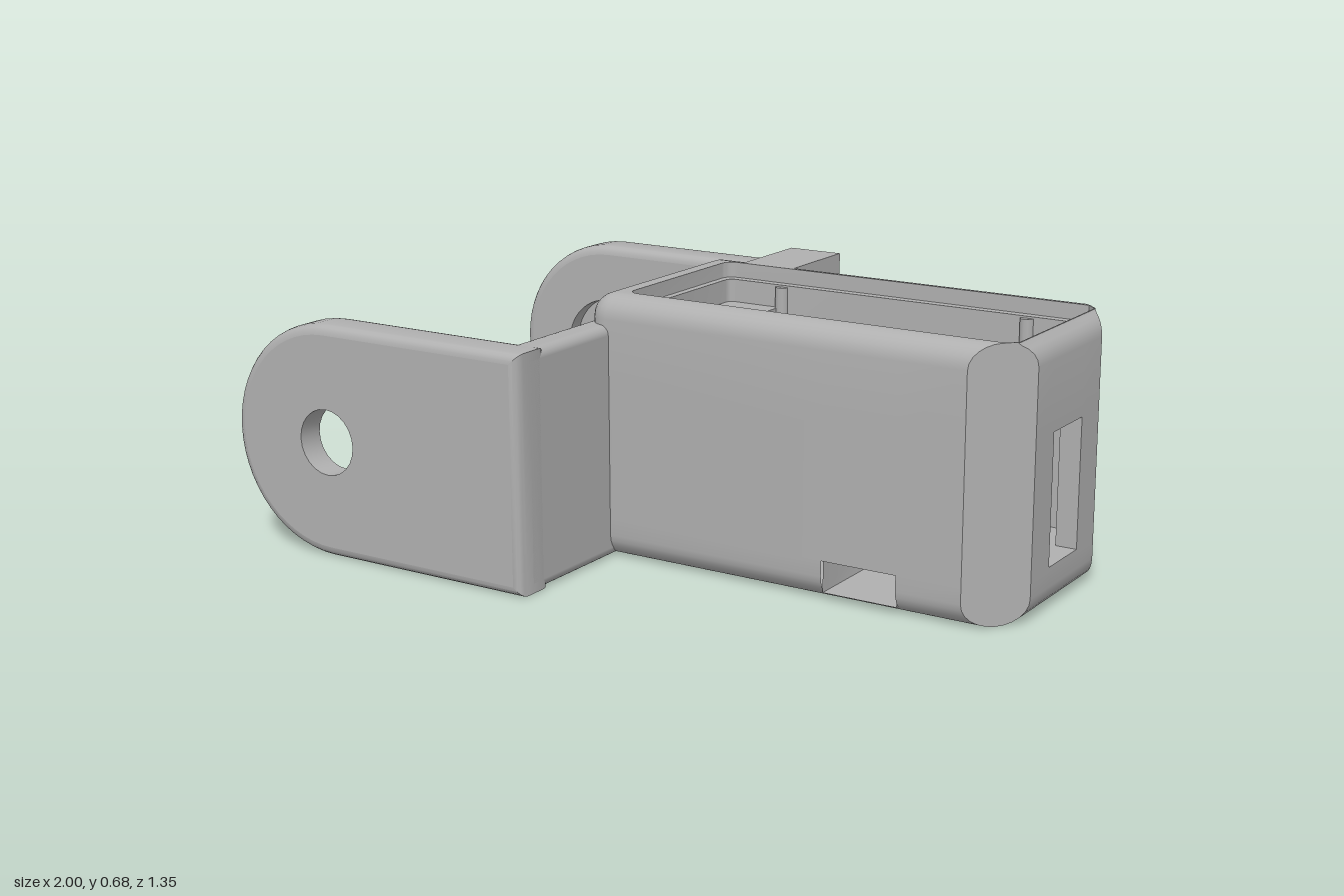
import * as THREE from 'three';
import { toCreasedNormals } from 'three/addons/utils/BufferGeometryUtils.js';
import { RoundedBoxGeometry } from 'three/addons/geometries/RoundedBoxGeometry.js';

const grey = new THREE.MeshStandardMaterial({ color: 0xb0b0b0, side: THREE.DoubleSide });
grey.name = 'grey plastic';

function add(parent, name, geometry) {
  const mesh = new THREE.Mesh(geometry, grey);
  mesh.name = name;
  parent.add(mesh);
  return mesh;
}

// Points on an arc, angles in degrees
function arc(cx, cy, r, a0, a1, n) {
  return Array.from({ length: n + 1 }, (_, i) => {
    const a = THREE.MathUtils.degToRad(a0 + ((a1 - a0) * i) / n);
    return [cx + r * Math.cos(a), cy + r * Math.sin(a)];
  });
}
const circle = (cx, cy, r) => arc(cx, cy, r, 0, 345, 23);

// Skin through closed outlines stacked along z; skip leaves openings
function loft(rings, skip = () => false) {
  const n = rings[0].pts.length, pos = [], idx = [];
  for (const { pts, z } of rings) for (const [x, y] of pts) pos.push(x, y, z);
  for (let i = 0; i < rings.length - 1; i++) {
    for (let j = 0; j < n; j++) {
      if (skip(j, rings[i].z, rings[i + 1].z)) continue;
      const a = i * n + j, b = i * n + ((j + 1) % n);
      idx.push(a, b, b + n, a, b + n, a + n);
    }
  }
  const g = new THREE.BufferGeometry();
  g.setAttribute('position', new THREE.Float32BufferAttribute(pos, 3));
  g.setIndex(idx);
  return toCreasedNormals(g, 0.6);
}

function shapeOf(pts, hole) {
  const v = (p) => p.map(([x, y]) => new THREE.Vector2(x, y));
  const s = new THREE.Shape(v(pts));
  if (hole) s.holes.push(new THREE.Path(v(hole)));
  return s;
}
const plate = (pts, hole, z) => new THREE.ShapeGeometry(shapeOf(pts, hole)).translate(0, 0, z);

// Housing outline: square left end with rounded corners, right end chamfered
const planform = (xr, yc, xc, w, xl, r) => [
  [xr, -yc], [xr, -0.08], [xr, 0.08], [xr, yc], [xc, w],
  ...arc(xl + r, w - r, r, 90, 180, 6),
  ...arc(xl + r, -w + r, r, 180, 270, 6),
  [0.51, -w], [0.71, -w], [xc, -w],
];

// Built lying in x/y with height along z, then stood up
function makeHousing() {
  const g = new THREE.Group();
  g.name = 'housing';
  const H = 0.675, r = 0.06, floor = 0.11, slotTop = 0.1;
  const slotLow = r * (1 - Math.SQRT1_2);
  const outer = (d, e) => planform(1 - e, 0.18 + e, 0.88 + d, 0.3 - d, -0.17 + d, r - d);
  const rings = [];
  const inset = (k) => r * (1 - Math.sin((k * Math.PI) / 12));
  const rise = (k) => r * (1 - Math.cos((k * Math.PI) / 12));
  for (let k = 0; k <= 6; k++) rings.push({ pts: outer(inset(k), inset(k)), z: rise(k) });
  for (const z of [slotTop, floor, 0.44]) rings.push({ pts: outer(0, 0), z });
  for (let k = 6; k >= 0; k--) rings.push({ pts: outer(inset(k), Math.min(inset(k), 0.035)), z: H - rise(k) });
  // Lid recess, ledge and cavity
  const recess = planform(0.965, 0.21, 0.94, 0.235, -0.085, 0.03);
  const cavity = planform(0.945, 0.195, 0.93, 0.21, -0.065, 0.02);
  rings.push({ pts: recess, z: H }, { pts: recess, z: 0.635 });
  for (const z of [0.635, 0.44, floor]) rings.push({ pts: cavity, z });
  const within = (a, b, lo, hi) => Math.min(a, b) > lo - 1e-5 && Math.max(a, b) < hi + 1e-5;
  add(g, 'shell', loft(rings, (j, a, b) =>
    (j === 1 && within(a, b, floor, 0.44)) || (j === 19 && within(a, b, slotLow, slotTop))));

  // Floor with screw hole, and nut slot beneath it
  const hole = circle(0.61, 0, 0.05);
  add(g, 'underside', plate(rings[0].pts, hole, 0));
  add(g, 'cavityFloor', plate(cavity, hole, floor));
  const slot = [[0.71, -0.29], [0.71, 0], [0.66, 0.087], [0.56, 0.087], [0.51, 0], [0.51, -0.29]];
  add(g, 'nutSlotWall', loft([{ pts: slot, z: slotTop }, { pts: slot, z: slotLow }], (j) => j === 5));
  add(g, 'nutSlotFloor', plate(slot, hole, slotLow));
  add(g, 'nutSlotCeiling', plate(slot, hole, slotTop));
  for (const [a, b] of [[slotLow, 0], [floor, slotTop]])
    add(g, 'screwHoleWall', loft([{ pts: hole, z: a }, { pts: hole, z: b }]));

  // Sides of the end window
  const rect = [[-0.08, floor], [0.08, floor], [0.08, 0.44], [-0.08, 0.44]];
  const tunnel = loft([{ pts: rect, z: 1 }, { pts: rect, z: 0.945 }]);
  tunnel.rotateX(Math.PI / 2).rotateZ(Math.PI / 2);
  add(g, 'windowFrame', tunnel);

  // Screw posts at both ends
  for (const [x0, x1, hx] of [[-0.065, 0.085, 0.025], [0.8, 0.945, 0.865]]) {
    const s = shapeOf([[x0, -0.21], [x1, -0.21], [x1, 0.21], [x0, 0.21]], circle(hx, 0, 0.028));
    add(g, 'screwPost', new THREE.ExtrudeGeometry(s, { depth: 0.125, bevelEnabled: false }).translate(0, 0, 0.45));
  }
  // Ribs on the long inner walls
  for (const [x, top, rad] of [[0.095, 0.63, 0.018], [0.26, 0.53, 0.014], [0.62, 0.53, 0.014], [0.79, 0.63, 0.018]])
    for (const side of [-1, 1])
      add(g, 'rib', new THREE.CylinderGeometry(rad, rad, top - floor, 12).rotateX(Math.PI / 2)
        .translate(x, side * 0.212, (top + floor) / 2));
  g.rotation.x = -Math.PI / 2;
  return g;
}

// One bracket arm, inner face at z = 0
function makeArm(name) {
  const g = new THREE.Group();
  g.name = name;
  const T = 0.115, r = 0.025, depth = 0.045;
  const outline = (d) => [[-0.1 - d, d], [-0.1 - d, 0.6 - d], ...arc(-0.7, 0.3, 0.3 - d, 90, 270, 28)];
  const rings = [];
  for (let k = 0; k <= 4; k++) {
    const a = (k * Math.PI) / 8;
    rings.push({ pts: outline(r * (1 - Math.sin(a))), z: r * (1 - Math.cos(a)) });
  }
  for (const { pts, z } of [...rings].reverse()) rings.push({ pts, z: T - z });
  add(g, 'armEdge', loft(rings));
  const hole = circle(-0.7, 0.3, 0.085);
  const pocket = [[-0.19, 0.225], [-0.19, 0.375], ...arc(-0.7, 0.3, 0.14, 83, 277, 24)];
  add(g, 'armOuterFace', plate(outline(r), hole, T));
  add(g, 'armInnerFace', plate(outline(r), pocket, 0));
  add(g, 'pocketWall', loft([{ pts: pocket, z: depth }, { pts: pocket, z: 0 }]));
  add(g, 'pocketFloor', plate(pocket, hole, depth));
  add(g, 'pivotHole', loft([{ pts: hole, z: T }, { pts: hole, z: depth }]));
  return g;
}

export function createModel() {
  const model = new THREE.Group();
  model.name = 'bracketWithHousing';
  model.add(makeHousing());

  // Fork: two arms joined by a crossbar
  const front = makeArm('frontArm');
  front.position.z = 0.56;
  const back = makeArm('backArm');
  back.rotation.x = Math.PI;
  back.position.set(0, 0.6, -0.56);
  model.add(front, back);
  add(model, 'crossbar', new RoundedBoxGeometry(0.085, 0.6, 1.3, 3, 0.025)).position.set(-0.1425, 0.3, 0);

  // Cable loop on the back of the housing
  const loop = shapeOf([[0.24, 0], [0.49, 0], [0.49, 0.675], [0.24, 0.675],
    [0.24, 0.62], [0.43, 0.62], [0.43, 0.06], [0.24, 0.06]]);
  const loopGeo = new THREE.ExtrudeGeometry(loop, { depth: 0.15, bevelEnabled: false });
  loopGeo.rotateY(Math.PI / 2).translate(-0.04, 0, 0);
  add(model, 'cableLoop', loopGeo);
  return model;
}
